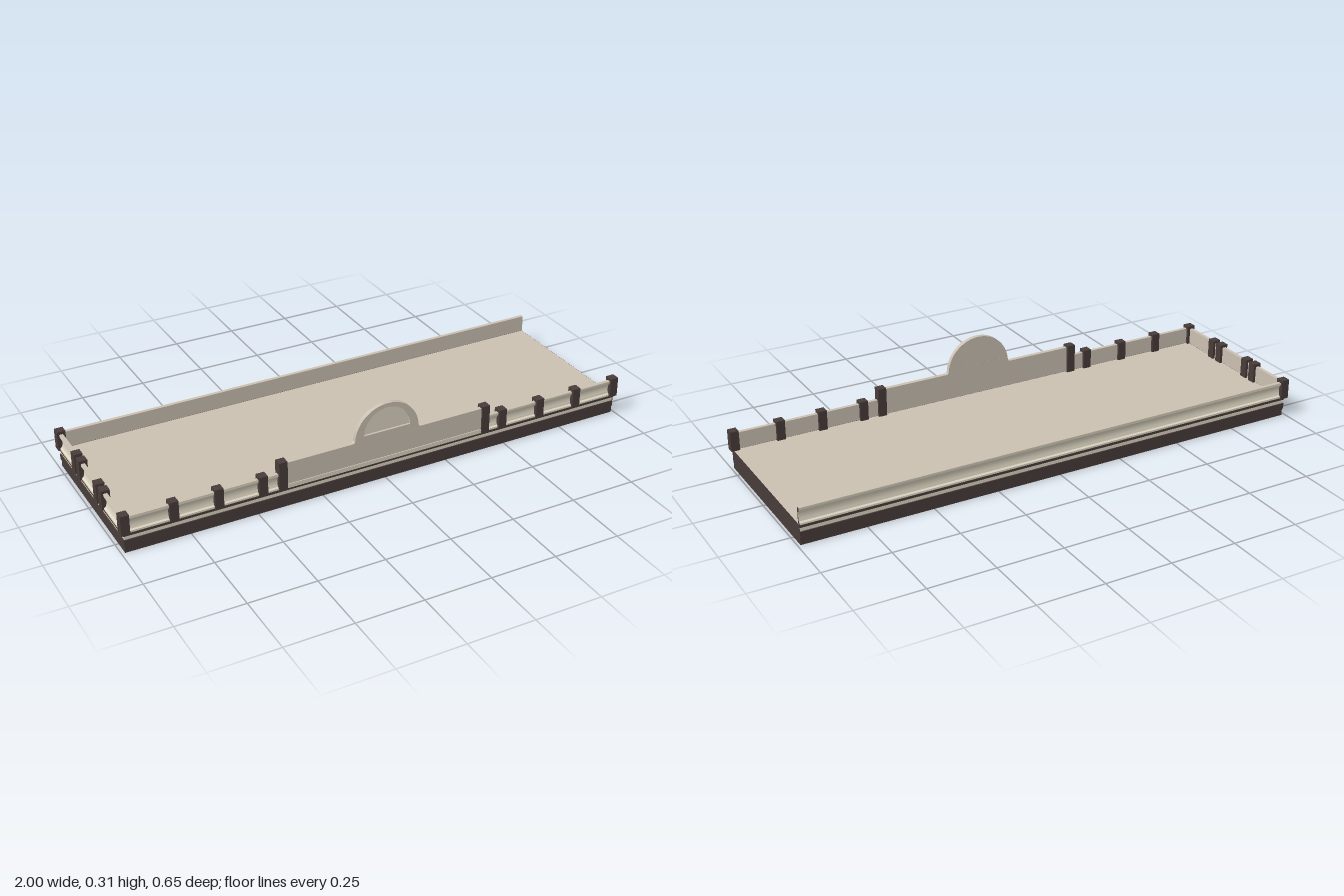
import * as THREE from 'three';
import { toCreasedNormals } from 'three/addons/utils/BufferGeometryUtils.js';

const mat = (color) => new THREE.MeshStandardMaterial({ color, side: THREE.DoubleSide });
const stone = mat(0xcbc1b2), cream = mat(0xddd6c2), dark = mat(0x483c3a);

const END = 0.99;        // open end of the roof
const STRETCH = 0.677;   // extra half length along x

// Sweeps a [distance out, height] profile along front, right side and back
function sweep(profile) {
  const ring = ([d, y]) => [
    [END, y, d], [-d - STRETCH, y, d], [-d - STRETCH, y, -d], [END, y, -d],
  ];
  const pos = [];
  for (let j = 0; j < profile.length - 1; j++) {
    const lo = ring(profile[j]), hi = ring(profile[j + 1]);
    for (let i = 0; i < 3; i++) {
      for (const p of [lo[i + 1], lo[i], hi[i], lo[i + 1], hi[i], hi[i + 1]]) pos.push(...p);
    }
  }
  const geo = new THREE.BufferGeometry();
  geo.setAttribute('position', new THREE.Float32BufferAttribute(pos, 3));
  geo.computeVertexNormals();
  return toCreasedNormals(geo, 0.6);
}

export function createModel() {
  const model = new THREE.Group();
  const add = (name, geo, material, x = 0, y = 0, z = 0) => {
    const mesh = new THREE.Mesh(geo, material);
    mesh.name = name;
    mesh.position.set(x, y, z);
    model.add(mesh);
    return mesh;
  };

  // Hollow base: stacked trim bands around three sides
  add('lowerBand', sweep([[0.31, 0], [0.31, 0.028], [0.313, 0.028], [0.313, 0.05], [0.309, 0.05]]), dark);
  add('creamBand', sweep([[0.309, 0.05], [0.309, 0.066]]), cream);
  add('upperBand', sweep([[0.309, 0.066], [0.314, 0.066], [0.314, 0.077], [0.3, 0.077]]), dark);

  // Flat end wall on the open side
  const end = new THREE.Shape([
    [-0.31, 0], [0.31, 0], [0.31, 0.028], [0.313, 0.028], [0.313, 0.076], [-0.313, 0.076], [-0.313, 0.028], [-0.31, 0.028],
  ].map(([z, y]) => new THREE.Vector2(z, y)));
  add('endWall', new THREE.ShapeGeometry(end).rotateY(Math.PI / 2), dark, END);

  // Roof deck
  const deck = new THREE.PlaneGeometry(END + 0.985, 0.618).rotateX(-Math.PI / 2);
  add('roofDeck', deck, stone, (END - 0.985) / 2, 0.0755, 0);

  // Parapet: coved outside, flat inside
  const outer = [
    [0.316, 0.077], [0.316, 0.084], [0.31, 0.088], [0.307, 0.097], [0.306, 0.108],
    [0.307, 0.118], [0.311, 0.126], [0.315, 0.13], [0.315, 0.14],
  ];
  add('parapetOuter', sweep(outer), cream);
  add('parapetInner', sweep([[0.315, 0.14], [0.301, 0.14], [0.301, 0.076]]), stone);
  const cap = new THREE.Shape([...outer, [0.301, 0.14], [0.301, 0.077]].map(([d, y]) => new THREE.Vector2(d, y)));
  for (const s of [-1, 1]) {
    const geo = new THREE.ShapeGeometry(cap).rotateY(s * Math.PI / 2);
    add('parapetEnd', geo, dark, END);
  }

  // Raised centre panel with a half-round top and a recessed lunette
  const R = 0.128, top = 0.178, half = 0.41;
  const face = new THREE.Shape();
  face.moveTo(-half, 0.077);
  face.lineTo(half, 0.077);
  face.lineTo(half, top);
  face.lineTo(R + 0.006, top);
  face.lineTo(R, top + 0.006);
  face.absarc(0, top, R, 0.05, Math.PI - 0.05, false);
  face.lineTo(-R - 0.006, top);
  face.lineTo(-half, top);
  const lunette = new THREE.Path();
  lunette.absarc(0, 0.198, 0.092, 0, Math.PI, false);
  lunette.closePath();
  face.holes.push(lunette);
  const panel = new THREE.ExtrudeGeometry(face, { depth: 0.0165, bevelEnabled: false, curveSegments: 24 });
  add('centrePanel', toCreasedNormals(panel, 0.5), stone, 0, 0, 0.3005);
  const back = new THREE.CircleGeometry(0.093, 24, 0, Math.PI);
  add('lunetteBack', back, cream, 0, 0.198, 0.309);
  add('lunetteRear', back.clone().rotateY(Math.PI), stone, 0, 0.198, 0.3006);
  add('panelFoot', new THREE.BoxGeometry(2 * half, 0.016, 0.004), cream, 0, 0.085, 0.3175);

  // Posts along the parapet
  const post = (x, z, h) =>
    add('post', new THREE.BoxGeometry(0.032, h, 0.032), dark, x, 0.075 + h / 2, z);
  for (const s of [-1, 1]) {
    for (const x of [0.984, 0.81, 0.647, 0.483]) post(s * x, 0.307, 0.076);
    post(s * 0.408, 0.307, 0.111);
    for (const z of [0.083, 0.132]) post(-0.984, s * z, 0.076);
  }
  post(-0.984, -0.307, 0.076);

  return model;
}
